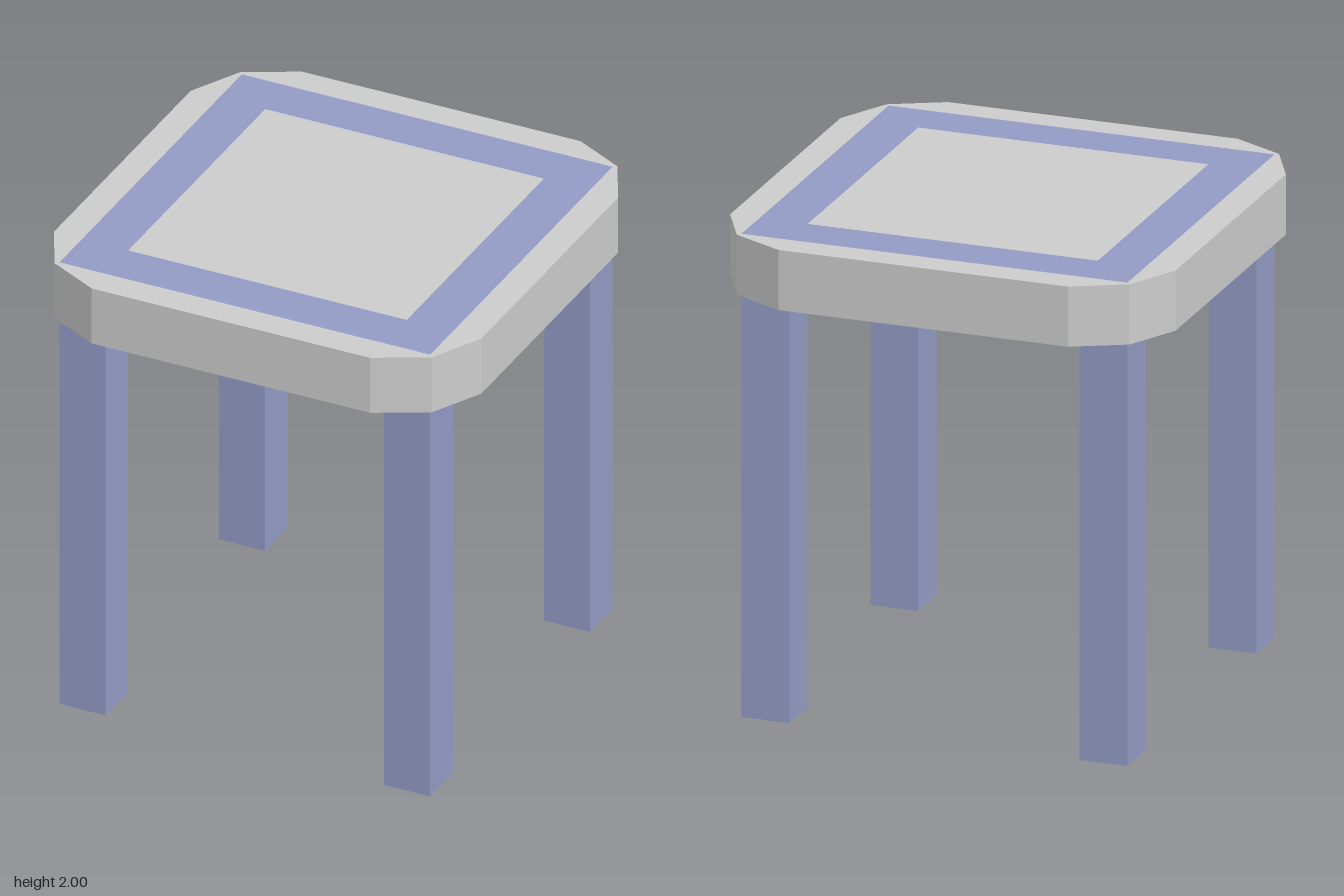
import * as THREE from 'three';

const grey = new THREE.MeshStandardMaterial({ color: 0xcccccc, flatShading: true });
const blue = new THREE.MeshStandardMaterial({ color: 0x929bc4, flatShading: true });

const SEAT_BOTTOM = 1.75;
const SEAT_TOP = 1.999;
const LEG = 0.2;
const LEG_CENTRE = 0.706;

function squarePoints(h) {
  return [[-h, -h], [h, -h], [h, h], [-h, h]].map(([x, y]) => new THREE.Vector2(x, y));
}

export function createModel() {
  const group = new THREE.Group();
  group.name = 'stool';

  const add = (name, geometry, material) => {
    const mesh = new THREE.Mesh(geometry, material);
    mesh.name = name;
    group.add(mesh);
    return mesh;
  };

  // Seat: a square slab, each corner cut by two facets
  const corner = [[0.93, -0.605], [0.93, 0.605], [0.82, 0.82], [0.605, 0.93]];
  const outline = [];
  for (let i = 0; i < 4; i++) {
    for (const [x, y] of corner.slice(1)) {
      outline.push(new THREE.Vector2(x, y).rotateAround(new THREE.Vector2(), i * Math.PI / 2));
    }
  }
  const seat = new THREE.ExtrudeGeometry(new THREE.Shape(outline), {
    depth: SEAT_TOP - SEAT_BOTTOM, bevelEnabled: false,
  });
  seat.rotateX(-Math.PI / 2).translate(0, SEAT_BOTTOM, 0);
  add('seat', seat, grey);

  // Flat square band inlaid in the seat top, in line with the legs
  const band = new THREE.Shape(squarePoints(LEG_CENTRE + LEG / 2));
  band.holes.push(new THREE.Path(squarePoints(LEG_CENTRE - LEG / 2).reverse()));
  const inlay = new THREE.ShapeGeometry(band);
  inlay.rotateX(-Math.PI / 2).translate(0, 2, 0);
  add('seatInlay', inlay, blue);

  // Four square legs
  for (const [sx, side] of [[1, 'Left'], [-1, 'Right']]) {
    for (const [sz, end] of [[1, 'front'], [-1, 'back']]) {
      const leg = add(`${end}${side}Leg`, new THREE.BoxGeometry(LEG, SEAT_BOTTOM, LEG), blue);
      leg.position.set(sx * LEG_CENTRE, SEAT_BOTTOM / 2, sz * LEG_CENTRE);
    }
  }

  return group;
}
